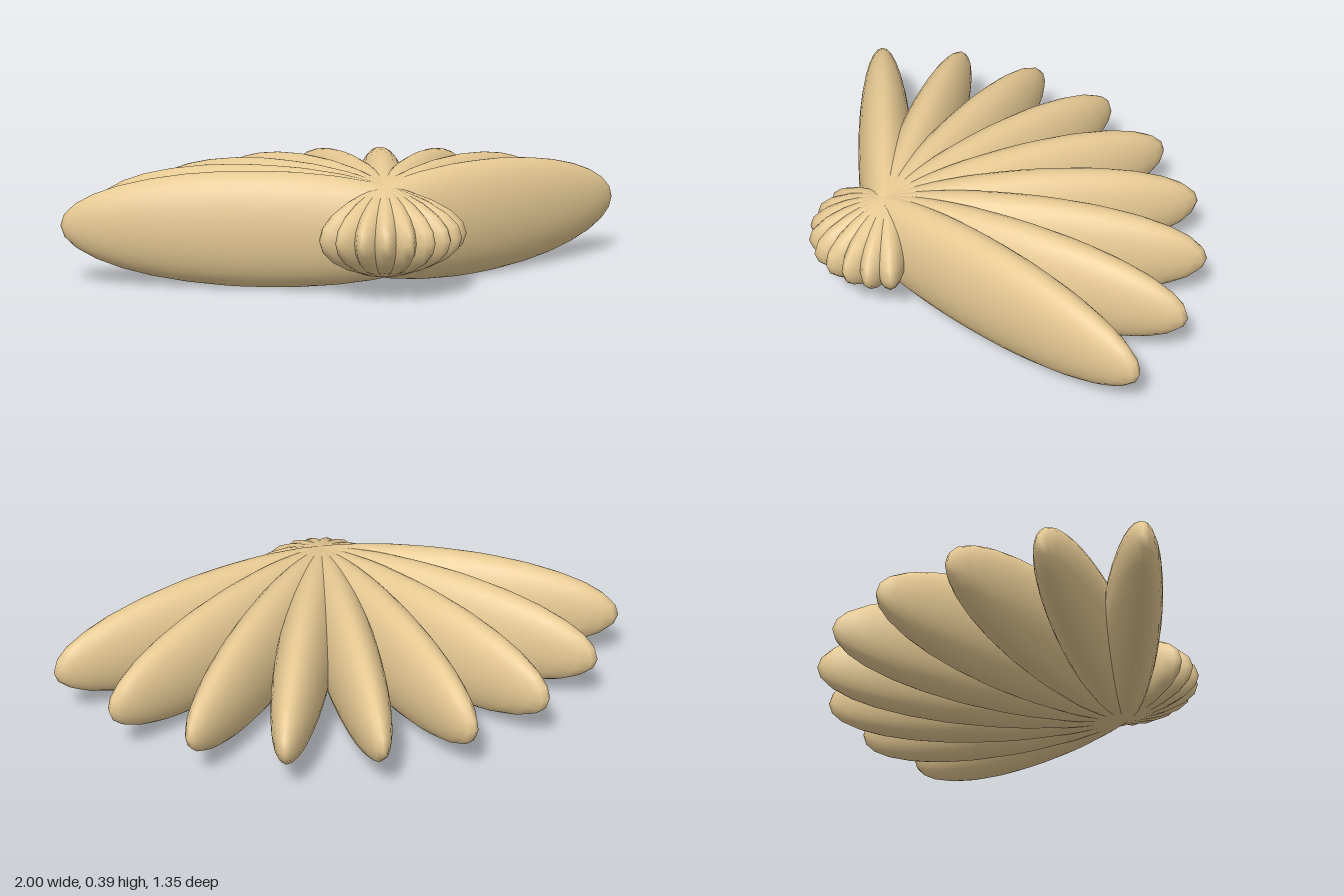
import * as THREE from 'three';

const HALF_LENGTH = 0.677, HALF_WIDTH = 0.099, HALF_HEIGHT = 0.195;
const PIVOT_Z = 0.406;   // hinge shared by all lobes; each lobe pokes through to the front
const COUNT = 9, SPREAD = Math.PI * 0.75;

export function createModel() {
  const fan = new THREE.Group();
  fan.name = 'shellFan';
  const material = new THREE.MeshStandardMaterial({ color: 0xe6c993 });
  const geometry = new THREE.SphereGeometry(1, 32, 16);

  // Long flattened ellipsoids fanned out around the hinge
  for (let i = 0; i < COUNT; i++) {
    const hinge = new THREE.Group();
    hinge.name = `lobe${i + 1}`;
    hinge.position.set(0, HALF_HEIGHT, PIVOT_Z);
    hinge.rotation.y = (i / (COUNT - 1) - 0.5) * SPREAD;

    const lobe = new THREE.Mesh(geometry, material);
    lobe.name = 'lobeBody';
    lobe.scale.set(HALF_WIDTH, HALF_HEIGHT, HALF_LENGTH);
    lobe.position.z = -PIVOT_Z;
    hinge.add(lobe);
    fan.add(hinge);
  }
  return fan;
}
